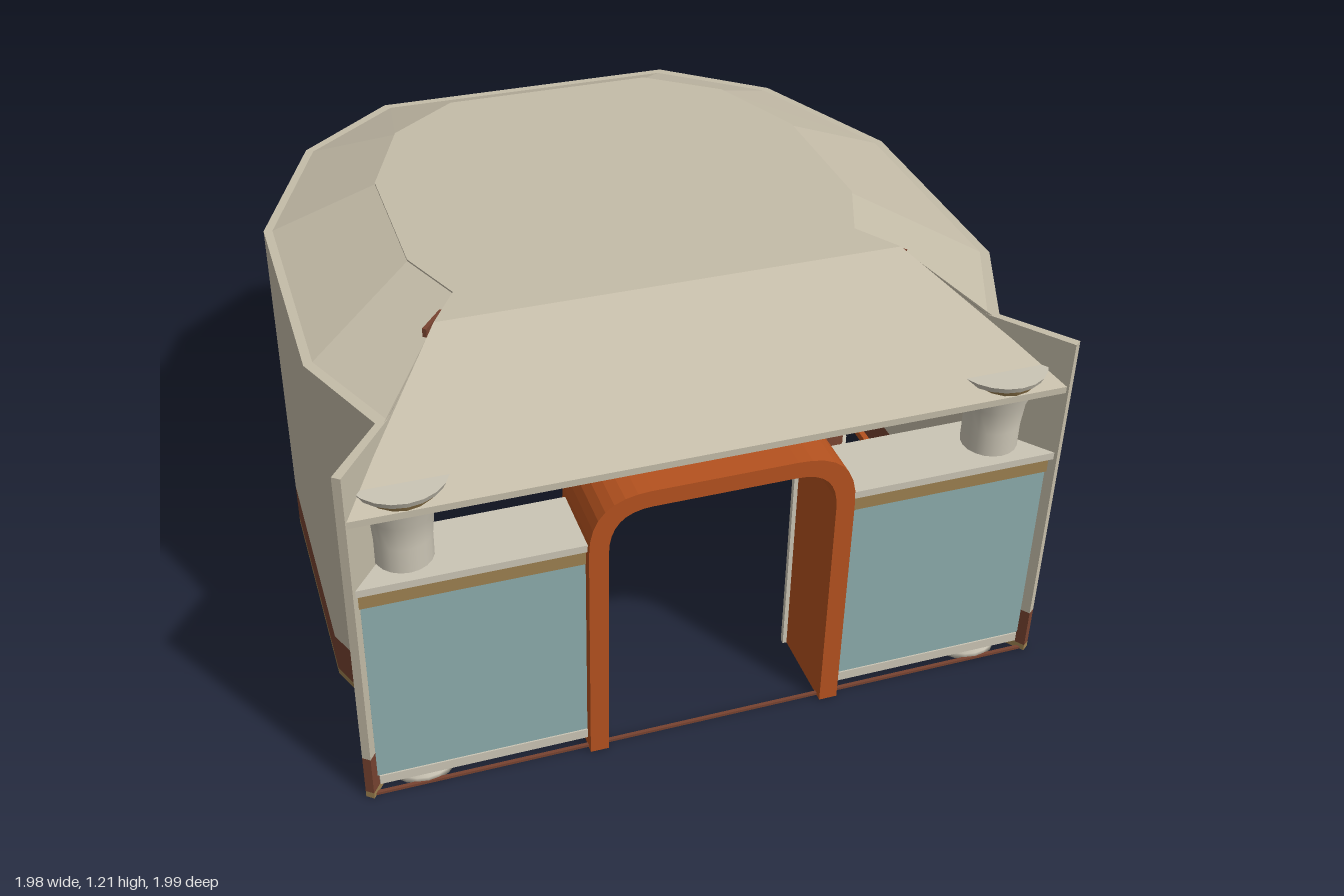
import * as THREE from 'three';

const mat = (name, color, side = THREE.FrontSide) => {
  const m = new THREE.MeshStandardMaterial({ color, side });
  m.name = name;
  return m;
};

export function createModel() {
  const model = new THREE.Group();
  const plaster = mat('plaster', 0xc4bca8, THREE.DoubleSide);
  const cream = mat('cream', 0xcbc5b5);
  const orange = mat('orange', 0xb5521f, THREE.DoubleSide);
  const brown = mat('brown', 0x774330);
  const tan = mat('tan', 0x9c8050);
  const glass = mat('glass', 0x8cacac, THREE.DoubleSide);

  const add = (name, geo, material, x = 0, y = 0, z = 0) => {
    const mesh = new THREE.Mesh(geo, material);
    mesh.name = name;
    mesh.position.set(x, y, z);
    model.add(mesh);
    return mesh;
  };
  const box = (name, material, x0, x1, y0, y1, z0, z1) =>
    add(name, new THREE.BoxGeometry(x1 - x0, y1 - y0, z1 - z0), material,
      (x0 + x1) / 2, (y0 + y1) / 2, (z0 + z1) / 2);
  // Upright prism from a plan outline of [x, z] points
  const prism = (name, material, plan, y0, y1) => {
    const shape = new THREE.Shape(plan.map(([x, z]) => new THREE.Vector2(x, -z)));
    const geo = new THREE.ExtrudeGeometry(shape, { depth: y1 - y0, bevelEnabled: false });
    return add(name, geo.rotateX(-Math.PI / 2), material, 0, y0, 0);
  };
  // Flat-shaded faces, each a convex list of [x, y, z] corners
  const faces = (name, material, list) => {
    const pos = [];
    for (const f of list)
      for (let i = 1; i < f.length - 1; i++) pos.push(...f[0], ...f[i], ...f[i + 1]);
    const geo = new THREE.BufferGeometry();
    geo.setAttribute('position', new THREE.Float32BufferAttribute(pos, 3));
    geo.computeVertexNormals();
    return add(name, geo, material);
  };
  const mirrored = (half) => [...half, ...half.map(([x, z]) => [-x, z]).reverse()];
  const scaled = (path, d) => path.map(([x, z]) => {
    const k = 1 + d / Math.hypot(x, z);
    return [x * k, z * k];
  });

  // Faceted wall, open at the front, in three coloured bands
  const outer = mirrored([[0.85, 0.78], [0.98, 0.47], [0.98, -0.265], [0.78, -0.745], [0.48, -0.995]]);
  const inner = mirrored([[0.82, 0.77], [0.955, 0.46], [0.955, -0.26], [0.76, -0.73], [0.465, -0.97]]);
  const ring = [...outer, ...[...inner].reverse()];
  const bands = [['Foot', tan, 0, 0.02], ['Skirting', brown, 0.02, 0.145], ['', plaster, 0.145, 1.08]];
  for (const [suffix, m, y0, y1] of bands) {
    prism('wall' + suffix, m, ring, y0, y1);
    for (const s of [1, -1]) {
      const wing = [[0.82, 0.77], [0.972, 0.975], [0.992, 0.96], [0.85, 0.775]];
      prism('frontWing' + suffix, m, wing.map(([x, z]) => [s * x, z]), y0, y1);
    }
  }
  prism('innerSkirting', orange, [...inner, ...scaled(inner, -0.02).reverse()], 0.005, 0.03);

  // Sloped roof with a flat top
  const crown = mirrored([[0.57, 0.43], [0.65, 0.23], [0.65, -0.23], [0.53, -0.53], [0.32, -0.69]]);
  const slopes = [];
  for (let i = 0; i < inner.length - 1; i++) {
    const at = (p, y) => [p[0], y, p[1]];
    slopes.push([at(inner[i], 1.08), at(inner[i + 1], 1.08), at(crown[i + 1], 1.2), at(crown[i], 1.2)]);
  }
  faces('roofSlope', plaster, slopes);
  prism('roofTop', plaster, [[0.65, 0.56], ...crown, [-0.65, 0.56]], 1.19, 1.205);

  // Sloping front canopy and its cheeks
  const canopy = (dy) => [[-0.65, 1.205 - dy, 0.56], [-0.975, 0.945 - dy, 0.97],
    [0.975, 0.945 - dy, 0.97], [0.65, 1.205 - dy, 0.56]];
  const top = canopy(0), under = canopy(0.02);
  faces('canopy', plaster, [top, [...under].reverse(),
    ...top.map((p, i) => [p, under[i], under[(i + 1) % 4], top[(i + 1) % 4]])]);
  for (const s of [1, -1]) {
    faces('roofCheek', plaster, [
      [[s * 0.57, 1.2, 0.43], [s * 0.65, 1.2, 0.56], [s * 0.82, 1.08, 0.77]],
      [[s * 0.65, 1.2, 0.56], [s * 0.83, 1.08, 0.78], [s * 0.83, 1.04, 0.78]],
    ]);
    const beam = add('beamEnd', new THREE.BoxGeometry(0.012, 0.025, 0.1), brown, s * 0.642, 1.17, 0.51);
    beam.rotation.y = s * 0.68;
  }

  // Rounded doorway frame with a thin cream liner
  const arch = (w, h, wi, hi, depth) => {
    const s = new THREE.Shape();
    s.moveTo(w, 0);
    s.lineTo(w, h - 0.17);
    s.bezierCurveTo(w, h - 0.05, w - 0.06, h, w - 0.17, h);
    s.lineTo(0.17 - w, h);
    s.bezierCurveTo(0.06 - w, h, -w, h - 0.05, -w, h - 0.17);
    s.lineTo(-w, 0);
    s.lineTo(-wi, 0);
    s.lineTo(-wi, hi - 0.13);
    s.bezierCurveTo(-wi, hi - 0.04, -wi + 0.04, hi, -wi + 0.12, hi);
    s.lineTo(wi - 0.12, hi);
    s.bezierCurveTo(wi - 0.04, hi, wi, hi - 0.04, wi, hi - 0.13);
    s.lineTo(wi, 0);
    return new THREE.ExtrudeGeometry(s, { depth, bevelEnabled: false, curveSegments: 8 });
  };
  add('doorFrame', arch(0.368, 0.875, 0.315, 0.825, 0.25), orange, 0, 0, 0.735);
  add('doorLiner', arch(0.33, 0.84, 0.303, 0.815, 0.015), cream, 0, 0, 0.72);
  box('doorSill', brown, -0.97, 0.97, 0, 0.008, 0.955, 0.965);

  const columnProfile = [[0, 0], [0.1, 0], [0.1, 0.02], [0.085, 0.035], [0.078, 0.06], [0.078, 0.8],
    [0.085, 0.87], [0.103, 0.92], [0.103, 0.945], [0, 0.945]].map(([x, y]) => new THREE.Vector2(x, y));

  for (const s of [1, -1]) {
    const side = (name, m, x0, x1, ...rest) =>
      s > 0 ? box(name, m, x0, x1, ...rest) : box(name, m, -x1, -x0, ...rest);

    // Front window and its ledge
    side('window', glass, 0.36, 0.955, 0.06, 0.66, 0.945, 0.953);
    side('windowRail', tan, 0.36, 0.965, 0.655, 0.705, 0.935, 0.957);
    side('windowBase', cream, 0.36, 0.95, 0.03, 0.06, 0.935, 0.957);
    const ledge = [[0.33, 0.97], [0.965, 0.97], [0.8, 0.76], [0.33, 0.76]];
    prism('windowLedge', cream, ledge.map(([x, z]) => [s * x, z]), 0.705, 0.727);

    // Column with a ringed capital
    add('column', new THREE.LatheGeometry(columnProfile, 20), cream, s * 0.82, 0, 0.862);
    add('capitalRing', new THREE.CylinderGeometry(0.118, 0.105, 0.025, 20), tan, s * 0.82, 0.955, 0.862);
    add('capital', new THREE.CylinderGeometry(0.13, 0.122, 0.018, 20), cream, s * 0.82, 0.976, 0.862);

    // Round stools along the side walls
    for (const [x, z] of [[0.8, 0.34], [0.765, -0.18]]) {
      add('stoolBase', new THREE.CylinderGeometry(0.13, 0.13, 0.025, 20), cream, s * x, 0.0125, z);
      add('stoolBody', new THREE.CylinderGeometry(0.118, 0.118, 0.15, 20), brown, s * x, 0.1, z);
      add('stoolSeat', new THREE.CylinderGeometry(0.13, 0.125, 0.025, 20), tan, s * x, 0.187, z);
    }

    // Arched shelf unit against the back wall
    const back = new THREE.Shape();
    back.moveTo(0.17, 0);
    back.lineTo(0.17, 0.53);
    back.quadraticCurveTo(0.2, 0.61, 0.31, 0.62);
    back.lineTo(0.45, 0.62);
    back.lineTo(0.45, 0);
    const backGeo = new THREE.ExtrudeGeometry(back, { depth: 0.02, bevelEnabled: false });
    if (s < 0) backGeo.rotateY(Math.PI);
    add('shelfBack', backGeo, brown, 0, 0, s > 0 ? -0.95 : -0.93);
    for (const y of [0.15, 0.275, 0.41]) side('shelf', cream, 0.17, 0.45, y - 0.006, y + 0.006, -0.93, -0.82);
    side('shelfPost', tan, 0.165, 0.178, 0, 0.53, -0.95, -0.82);
    const rim = [[0.17, 0.53], [0.19, 0.575], [0.235, 0.605], [0.31, 0.62], [0.45, 0.62]];
    faces('shelfArch', orange, rim.slice(1).flatMap(([x, y], i) => {
      const [px, py] = rim[i];
      return [
        [[s * px, py, -0.95], [s * x, y, -0.95], [s * x, y, -0.82], [s * px, py, -0.82]],
        [[s * px, py, -0.82], [s * x, y, -0.82], [s * x, y - 0.018, -0.82], [s * px, py - 0.018, -0.82]],
      ];
    }));
  }

  // Curved serving counter
  const bow = (w, zEnd, zMid) => Array.from({ length: 13 }, (_, i) => {
    const t = i / 6 - 1;
    return [t * w, zMid + (zEnd - zMid) * t * t];
  });
  prism('counter', orange, [...bow(0.5, -0.54, -0.33), ...bow(0.47, -0.59, -0.45).reverse()], 0, 0.168);
  prism('counterTop', cream, [...bow(0.51, -0.53, -0.315), ...bow(0.48, -0.6, -0.46).reverse()], 0.168, 0.182);

  return model;
}
